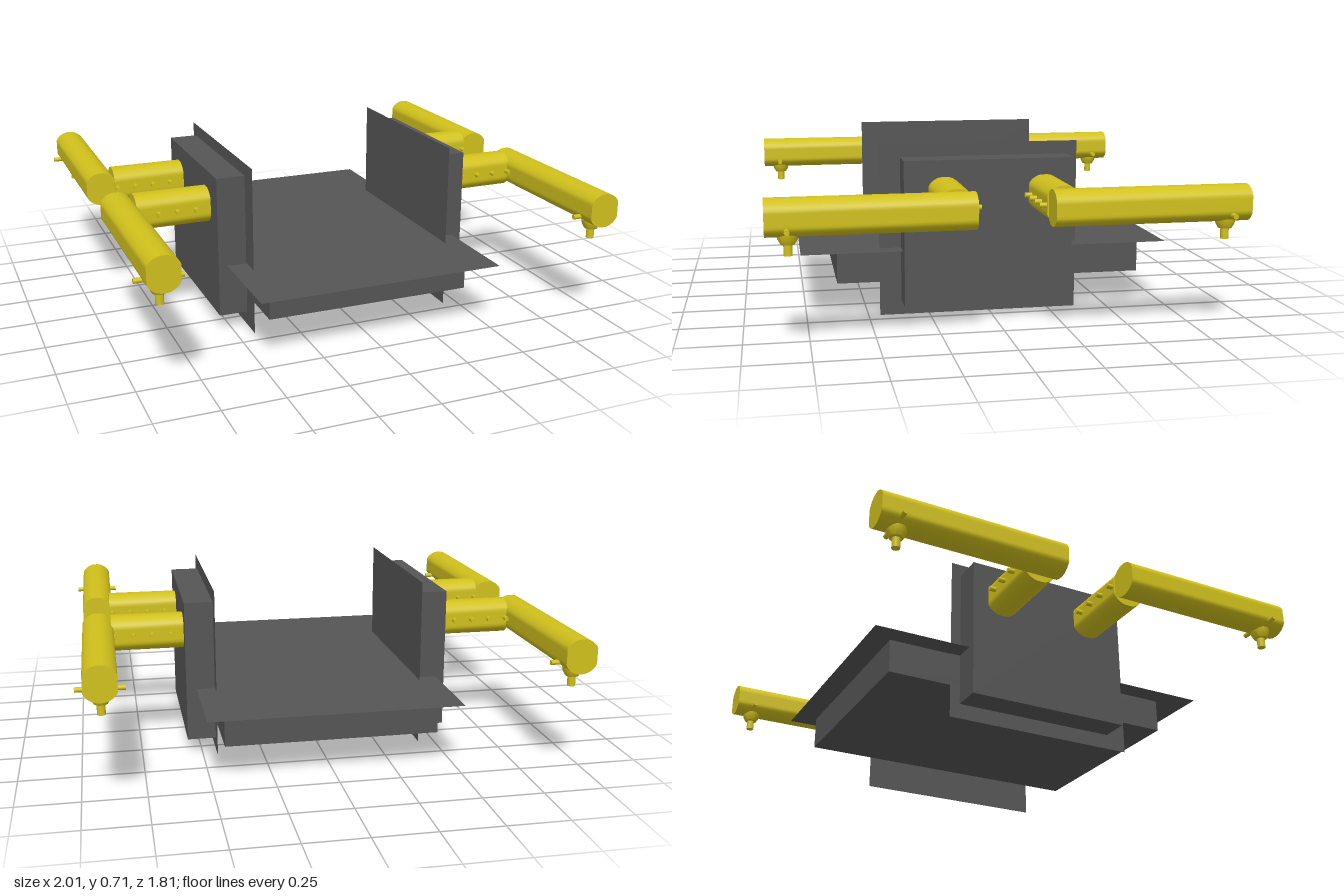
import * as THREE from 'three';
import { toCreasedNormals } from 'three/addons/utils/BufferGeometryUtils.js';

const grey = new THREE.MeshStandardMaterial({ color: 0x555555 });
const greySheet = new THREE.MeshStandardMaterial({ color: 0x555555, side: THREE.DoubleSide });
const yellow = new THREE.MeshStandardMaterial({ color: 0xd0c01c });

function add(parent, name, geometry, material, x = 0, y = 0, z = 0) {
  const mesh = new THREE.Mesh(geometry, material);
  mesh.name = name;
  mesh.position.set(x, y, z);
  parent.add(mesh);
  return mesh;
}

// Box given by its lower and upper corners
function block(parent, name, a, b) {
  const size = a.map((v, i) => b[i] - v), mid = a.map((v, i) => (v + b[i]) / 2);
  return add(parent, name, new THREE.BoxGeometry(...size), grey, ...mid);
}

// Round bar along z, centred, with its sides and top slightly flattened
function bar(radius, halfWidth, halfHeight, length) {
  const points = [];
  for (let i = 0; i < 40; i++) {
    const a = (i / 40) * Math.PI * 2;
    points.push(new THREE.Vector2(
      THREE.MathUtils.clamp(radius * Math.cos(a), -halfWidth, halfWidth),
      THREE.MathUtils.clamp(radius * Math.sin(a), -halfHeight, halfHeight)));
  }
  const g = new THREE.ExtrudeGeometry(new THREE.Shape(points), { depth: length, bevelEnabled: false });
  g.translate(0, 0, -length / 2);
  return toCreasedNormals(g, 0.6);
}

// One L-shaped arm; sx and sz choose the corner
function createArm(sx, sz) {
  const arm = new THREE.Group();
  arm.name = 'arm';
  const y = 0.51, x = sx * (sx > 0 ? 0.908 : 0.912), stubZ = sz * 0.203;

  // Short bar from the side slab, with cross pins
  add(arm, 'stub', bar(0.075, 0.065, 0.073, 0.31), yellow, sx * 0.7, y, stubZ).rotation.y = Math.PI / 2;
  const pin = new THREE.CylinderGeometry(0.01, 0.01, 0.185, 12);
  for (let i = 0; i < 4; i++) {
    add(arm, 'stubPin', pin, yellow, sx * (0.612 + i * 0.077), y, stubZ).rotation.x = Math.PI / 2;
  }

  // Long bar with an end pin
  add(arm, 'longBar', bar(0.071, 0.0625, 0.07, 0.762), yellow, x, y, sz * 0.525);
  add(arm, 'endPin', pin, yellow, x, 0.47, sz * 0.828).rotation.z = Math.PI / 2;

  // Nozzle hanging below the outer end
  const profile = [[0, 0.37], [0.016, 0.37], [0.016, 0.41], [0.026, 0.412], [0.036, 0.43], [0.04, 0.45], [0, 0.45]]
    .map(([r, h]) => new THREE.Vector2(r, h));
  const nozzle = toCreasedNormals(new THREE.LatheGeometry(profile, 24), 0.5);
  add(arm, 'nozzle', nozzle, yellow, x, 0, sz * 0.824);
  return arm;
}

export function createModel() {
  const model = new THREE.Group();
  model.name = 'model';

  // Base block under a wider thin sheet
  block(model, 'baseBlock', [-0.43, 0.14, -0.64], [0.44, 0.278, 0.625]);
  const deck = new THREE.PlaneGeometry(1.03, 1.505).rotateX(-Math.PI / 2);
  add(model, 'deckSheet', deck, greySheet, 0.002, 0.28, 0.018);

  // Side slabs, each with a larger thin sheet on the inner face
  block(model, 'leftSlab', [0.442, 0.06, -0.32], [0.56, 0.65, 0.365]);
  block(model, 'rightSlab', [-0.55, 0.065, -0.335], [-0.432, 0.655, 0.355]);
  const sheet = new THREE.PlaneGeometry(0.82, 0.703).rotateY(Math.PI / 2);
  add(model, 'leftSheet', sheet, greySheet, 0.44, 0.3515, 0.043);
  add(model, 'rightSheet', sheet, greySheet, -0.43, 0.3545, 0.033);

  for (const sx of [-1, 1]) for (const sz of [-1, 1]) model.add(createArm(sx, sz));
  return model;
}
